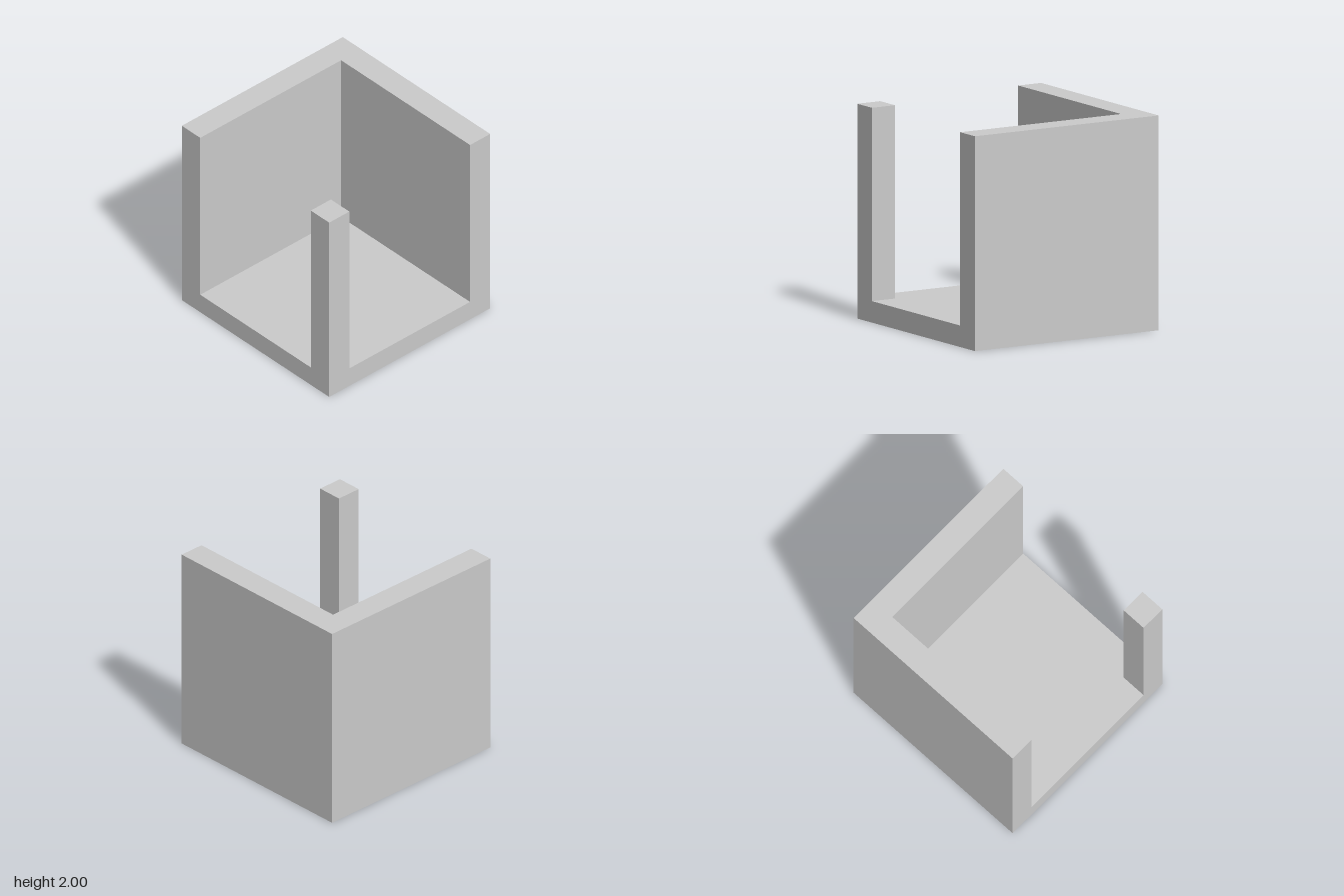
import * as THREE from 'three';

const SIZE = 2;      // overall cube
const FLOOR = 0.2;   // floor thickness
const WALL = 0.25;   // wall and post thickness

export function createModel() {
  const model = new THREE.Group();
  model.name = 'openCornerBox';
  const material = new THREE.MeshStandardMaterial({ color: 0xcccccc, flatShading: true });
  const half = SIZE / 2;
  const inner = half - WALL;
  const height = SIZE - FLOOR;

  const add = (name, geometry, x, y, z) => {
    const mesh = new THREE.Mesh(geometry, material);
    mesh.name = name;
    mesh.position.set(x, y, z);
    model.add(mesh);
  };

  // Square floor slab
  add('floor', new THREE.BoxGeometry(SIZE, FLOOR, SIZE), 0, FLOOR / 2, 0);

  // L-shaped wall along the right (-x) and back (-z) sides, drawn in plan
  const plan = new THREE.Shape([
    [-half, -half], [-inner, -half], [-inner, inner],
    [half, inner], [half, half], [-half, half],
  ].map(([x, y]) => new THREE.Vector2(x, y)));
  const wall = new THREE.ExtrudeGeometry(plan, { depth: height, bevelEnabled: false });
  wall.rotateX(-Math.PI / 2);
  add('cornerWall', wall, 0, FLOOR, 0);

  // Free-standing post at the open front corner
  const post = half - WALL / 2;
  add('cornerPost', new THREE.BoxGeometry(WALL, height, WALL), post, FLOOR + height / 2, post);

  return model;
}
